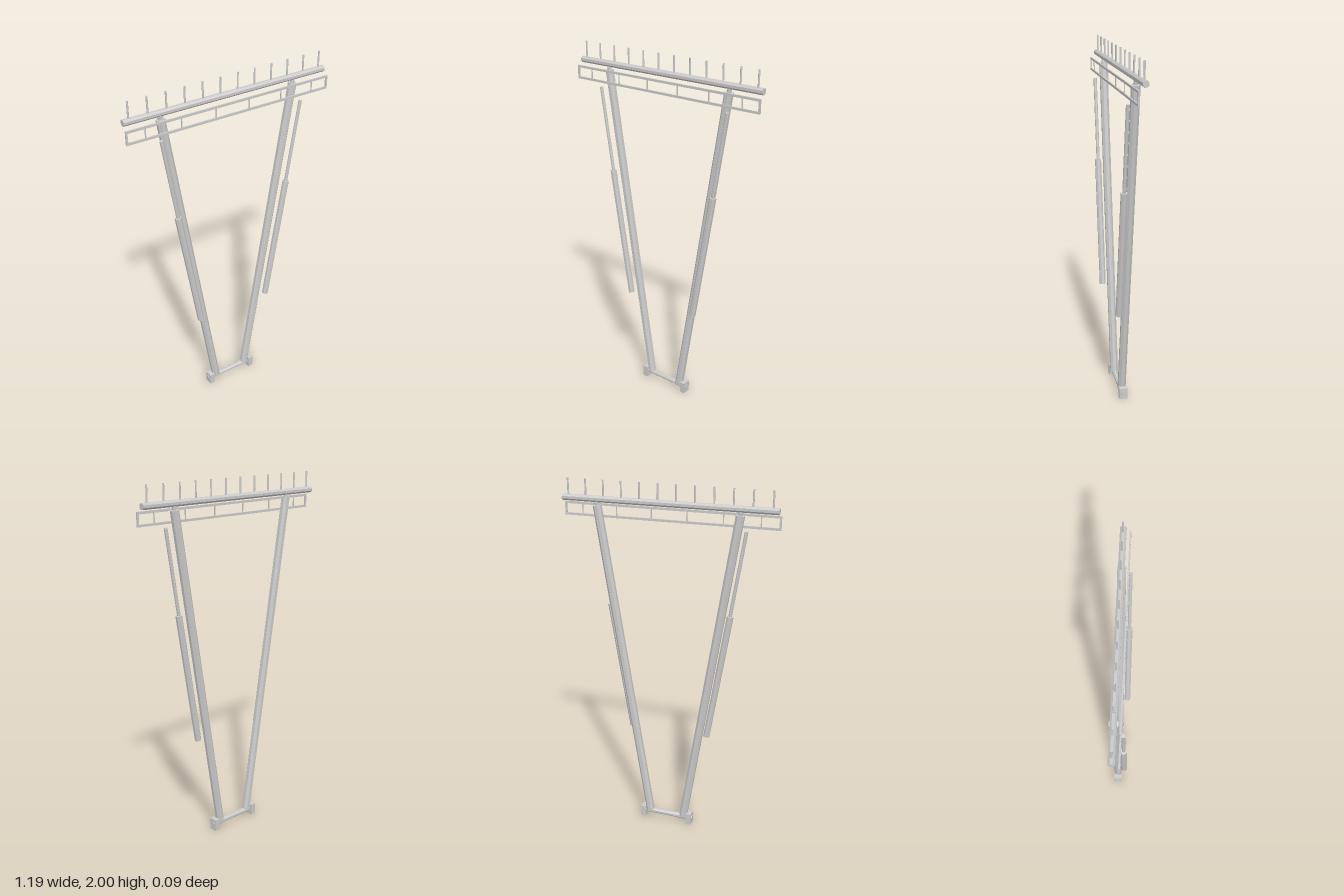
import * as THREE from 'three';

export function createModel() {
  const model = new THREE.Group();
  const steel = new THREE.MeshStandardMaterial({ color: 0xcacaca, flatShading: true });
  steel.name = 'light steel grey';

  const add = (geometry, name, parent = model) => {
    const mesh = new THREE.Mesh(geometry, steel);
    mesh.name = name;
    parent.add(mesh);
    return mesh;
  };

  // Octagonal rod between two points, r measured to the flat faces
  const rod = (name, a, b, r, parent) => {
    const from = new THREE.Vector3(...a), to = new THREE.Vector3(...b);
    const dir = to.clone().sub(from);
    const corner = r / Math.cos(Math.PI / 8);
    const geometry = new THREE.CylinderGeometry(corner, corner, dir.length(), 8);
    geometry.rotateY(Math.PI / 8);
    const mesh = add(geometry, name, parent);
    mesh.position.copy(from).add(to).multiplyScalar(0.5);
    mesh.quaternion.setFromUnitVectors(new THREE.Vector3(0, 1, 0), dir.normalize());
    return mesh;
  };

  const box = (name, w, h, d, x, y, z, parent) => {
    const mesh = add(new THREE.BoxGeometry(w, h, d), name, parent);
    mesh.position.set(x, y, z);
    return mesh;
  };

  const Z = -0.019;   // plane of the main frame
  const ZR = 0.025;   // plane of the side struts

  // Base hinge: axle and end blocks
  rod('baseAxle', [-0.162, 0.037, Z], [0.162, 0.037, Z], 0.014);

  for (const [side, s] of [['left', 1], ['right', -1]]) {
    box(side + 'BaseBlock', 0.03, 0.066, 0.048, s * 0.142, 0.033, Z);

    // Splayed leg with a short neck up to the rail
    rod(side + 'Leg', [s * 0.103, 0.04, Z], [s * 0.39, 1.865, Z], 0.022);
    rod(side + 'LegNeck', [s * 0.389, 1.86, Z], [s * 0.393, 1.888, Z], 0.011);

    // Telescopic strut: thick sleeve and thin rod
    const strut = new THREE.Group();
    strut.name = side + 'Strut';
    model.add(strut);
    rod('strutSleeve', [s * 0.224, 0.574, ZR], [s * 0.343, 1.313, ZR], 0.017, strut);
    rod('strutRod', [s * 0.34, 1.3, ZR], [s * 0.414, 1.775, ZR], 0.009, strut);
  }

  // Top rail with upright pins
  rod('topRail', [-0.588, 1.898, Z], [0.588, 1.898, Z], 0.016);
  const pins = new THREE.Group();
  pins.name = 'pins';
  model.add(pins);
  for (let i = 0; i < 12; i++) {
    const x = (i - 5.5) * 0.101;
    rod('pin', [x, 1.9, Z], [x, 2, Z], 0.0045, pins);
  }

  // Ladder frame in front of the legs
  const ladder = new THREE.Group();
  ladder.name = 'ladderFrame';
  model.add(ladder);
  const ZL = 0.015;
  for (const y of [1.802, 1.864]) box('ladderRail', 1.186, 0.012, 0.008, 0, y, ZL, ladder);
  for (const s of [-1, 1]) box('ladderEnd', 0.01, 0.06, 0.008, s * 0.588, 1.833, ZL, ladder);
  for (let i = 0; i < 6; i++) box('ladderRung', 0.005, 0.06, 0.005, (i - 2.5) * 0.196, 1.833, ZL, ladder);

  return model;
}
